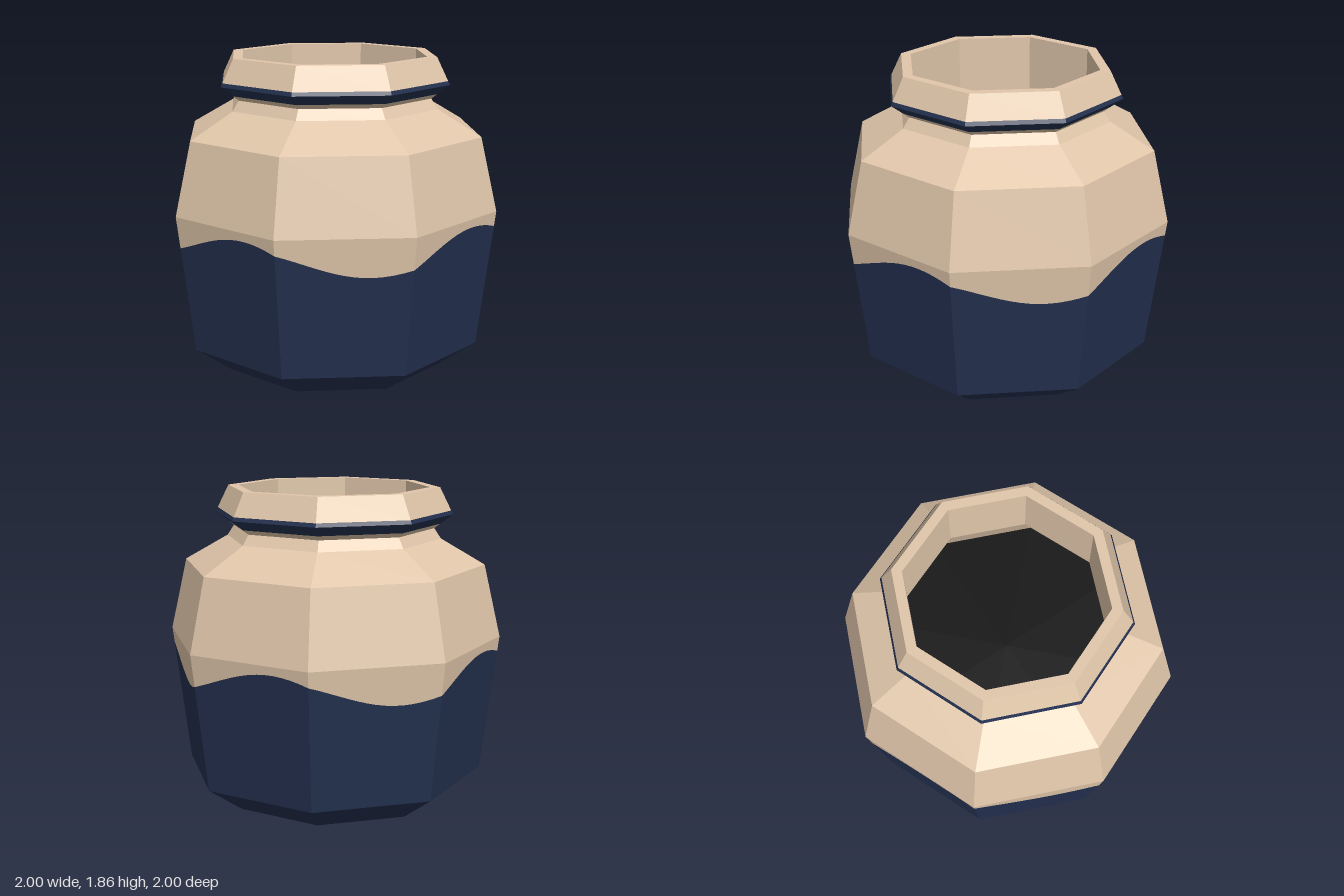
import * as THREE from 'three';

const SIDES = 8;

function flat(name, color) {
  const m = new THREE.MeshStandardMaterial({ color, flatShading: true });
  m.name = name;
  return m;
}

// Eight-sided ring surface: rising profiles face outward, falling ones inward
function ring(name, material, profile) {
  const points = profile.map(([r, y]) => new THREE.Vector2(r, y));
  const mesh = new THREE.Mesh(new THREE.LatheGeometry(points, SIDES), material);
  mesh.name = name;
  return mesh;
}

// Lower wall, tapering from the belly down to the foot
const FOOT = { r: 0.9, y: 0.16 };
const BELLY = { r: 1, y: 0.98 };

function wallPoint(side, t, y) {
  const a = (side * 2 * Math.PI) / SIDES;
  const b = ((side + 1) * 2 * Math.PI) / SIDES;
  const r = THREE.MathUtils.mapLinear(y, FOOT.y, BELLY.y, FOOT.r, BELLY.r);
  return [
    r * THREE.MathUtils.lerp(Math.cos(a), Math.cos(b), t),
    y,
    r * THREE.MathUtils.lerp(Math.sin(a), Math.sin(b), t),
  ];
}

// Height of the wavy glaze line: four waves around the jar
function glazeLine(side, t) {
  const degrees = ((side + t) * 360) / SIDES;
  return 0.842 - 0.088 * Math.cos(THREE.MathUtils.degToRad(4 * (degrees - 14)));
}

// Wall strip between two height functions
function wallStrip(name, material, bottom, top) {
  const steps = 14;
  const positions = [];
  for (let side = 0; side < SIDES; side++) {
    for (let i = 0; i < steps; i++) {
      const t0 = i / steps;
      const t1 = (i + 1) / steps;
      const a = wallPoint(side, t0, bottom(side, t0));
      const b = wallPoint(side, t0, top(side, t0));
      const c = wallPoint(side, t1, top(side, t1));
      const d = wallPoint(side, t1, bottom(side, t1));
      positions.push(...a, ...b, ...c, ...a, ...c, ...d);
    }
  }
  const geometry = new THREE.BufferGeometry();
  geometry.setAttribute('position', new THREE.Float32BufferAttribute(positions, 3));
  geometry.computeVertexNormals();
  const mesh = new THREE.Mesh(geometry, material);
  mesh.name = name;
  return mesh;
}

export function createModel() {
  const clay = flat('clay', 0xe0c6aa);
  const glaze = flat('navy glaze', 0x23304f);
  const dark = flat('dark inside', 0x0d0d0d);

  const jar = new THREE.Group();
  jar.name = 'jar';
  jar.add(
    // Glazed foot and lower body
    ring('foot', glaze, [[0, 0], [0.68, 0], [FOOT.r, FOOT.y]]),
    wallStrip('glazedWall', glaze, () => FOOT.y, glazeLine),
    wallStrip('bareWall', clay, glazeLine, () => BELLY.y),
    // Upper body, shoulder and neck
    ring('upperBody', clay, [[BELLY.r, BELLY.y], [0.9, 1.41]]),
    ring('shoulder', clay, [[0.9, 1.41], [0.64, 1.56], [0.6, 1.62], [0.635, 1.647]]),
    // Lip with its glazed edge
    ring('lipBand', glaze, [[0.635, 1.647], [0.708, 1.703], [0.697, 1.725]]),
    ring('lip', clay, [[0.697, 1.725], [0.63, 1.86], [0.57, 1.86]]),
    // Hollow inside
    ring('innerWall', clay, [[0.57, 1.86], [0.57, 1.51], [0.8, 1.0]]),
    ring('innerFloor', dark, [[0.8, 1.0], [0, 1.0]]),
  );
  return jar;
}
